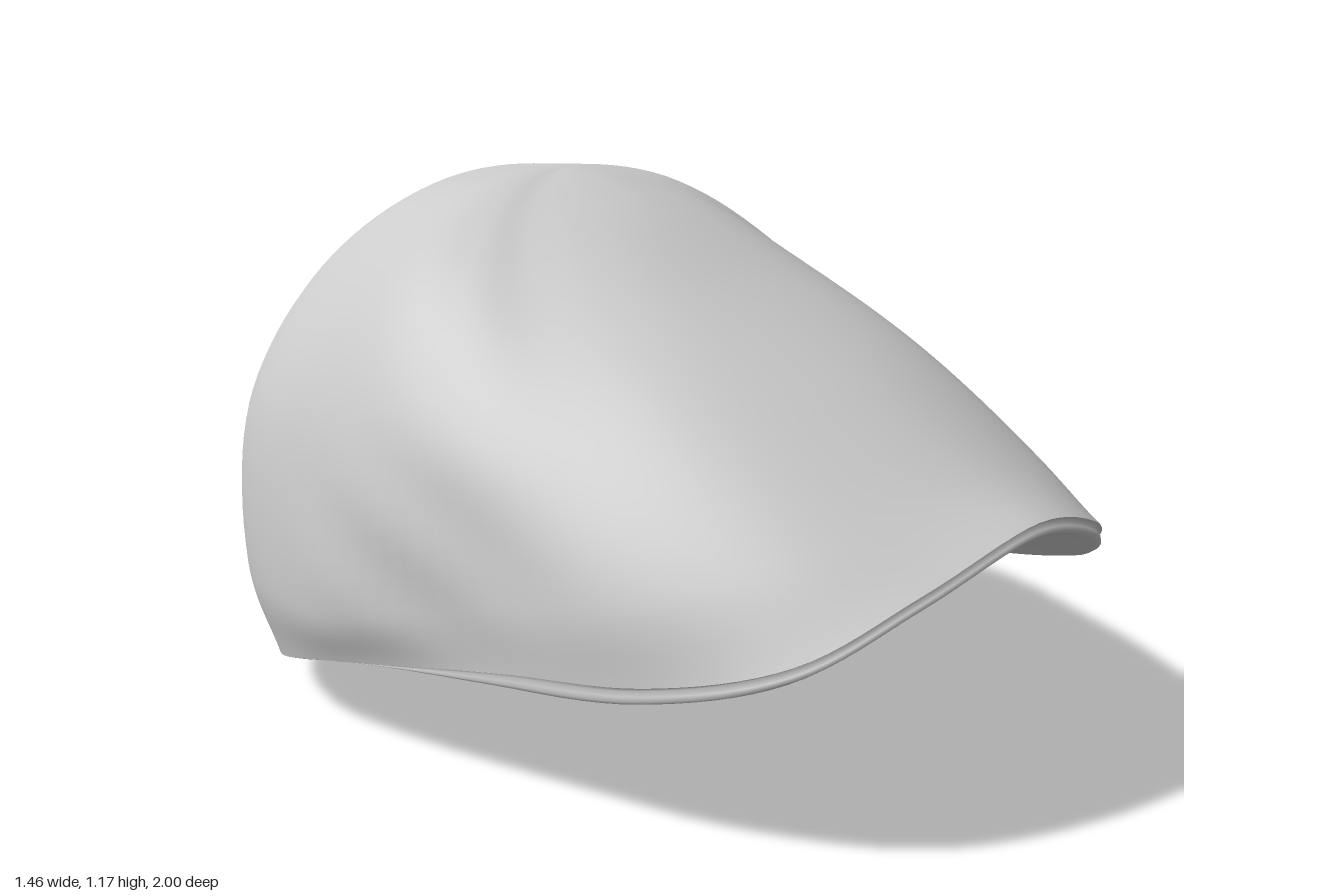
import * as THREE from 'three';
import { mergeVertices } from 'three/addons/utils/BufferGeometryUtils.js';
import { RoundedBoxGeometry } from 'three/addons/geometries/RoundedBoxGeometry.js';

const V = (x, y, z) => new THREE.Vector3(x, y, z);
const { smoothstep, lerp } = THREE.MathUtils;
const AROUND = 128;
const cloth = new THREE.MeshStandardMaterial({ color: 0xcccccc, side: THREE.DoubleSide });
const darkCloth = new THREE.MeshStandardMaterial({ color: 0x666666, side: THREE.DoubleSide });

// Closed ring through key points of the left half, front to back, mirrored to the right
function ring(keys) {
  const half = keys.map(k => V(...k));
  const other = half.slice(1, -1).reverse().map(p => V(-p.x, p.y, p.z));
  return new THREE.CatmullRomCurve3([...half, ...other], true, 'catmullrom', 0.5);
}

// Crown rings, from the rim upward
const crownRings = [
  [[0, 0.605, 1], [0.3, 0.53, 0.955], [0.5, 0.42, 0.83], [0.61, 0.345, 0.58], [0.665, 0.3, 0.25],
    [0.69, 0.21, -0.2], [0.61, 0.12, -0.52], [0.37, 0.04, -0.77], [0, 0, -0.89]],
  [[0, 0.658, 0.88], [0.28, 0.625, 0.83], [0.47, 0.56, 0.73], [0.62, 0.48, 0.5], [0.675, 0.42, 0.2],
    [0.727, 0.32, -0.2], [0.64, 0.3, -0.57], [0.41, 0.27, -0.84], [0, 0.26, -0.96]],
  [[0, 0.82, 0.6], [0.24, 0.81, 0.56], [0.41, 0.78, 0.48], [0.56, 0.71, 0.33], [0.65, 0.7, 0.09],
    [0.67, 0.72, -0.2], [0.62, 0.68, -0.53], [0.41, 0.63, -0.84], [0, 0.6, -0.995]],
  [[0, 0.97, 0.3], [0.2, 0.965, 0.28], [0.33, 0.95, 0.22], [0.44, 0.93, 0.11], [0.49, 0.96, -0.02],
    [0.5, 1, -0.2], [0.47, 0.965, -0.43], [0.33, 0.94, -0.68], [0, 0.95, -0.83]],
  [[0, 1.12, 0], [0.1, 1.117, -0.01], [0.18, 1.113, -0.04], [0.24, 1.113, -0.09], [0.28, 1.122, -0.14],
    [0.29, 1.131, -0.22], [0.27, 1.125, -0.34], [0.19, 1.122, -0.47], [0, 1.125, -0.58]],
].map(ring);

// Head opening
const opening = ring([[0, 0.5, 0.66], [0.25, 0.472, 0.61], [0.44, 0.4, 0.48], [0.58, 0.33, 0.32],
  [0.65, 0.28, 0.1], [0.668, 0.205, -0.2], [0.595, 0.115, -0.51], [0.355, 0.037, -0.765], [0, 0.002, -0.882]]);

const apex = V(0, 1.17, -0.22);

// Curve from the rim (t = 0) over the apex (t = 1) to the far side
function meridian(u) {
  const points = crownRings.map(r => r.getPoint(u));
  const beyond = crownRings[4].getPoint((u + 0.5) % 1);
  const curve = new THREE.CatmullRomCurve3([...points, apex, beyond]);
  return t => curve.getPoint(t * 5 / 6);
}

// Soft cloth folds at the sides
function fold(p) {
  const weight = Math.exp(-((p.y - 0.5) ** 2) / 0.025 - ((p.z - 0.02) ** 2) / 0.06);
  const side = smoothstep(Math.abs(p.x), 0.4, 0.65);
  p.x += Math.sign(p.x) * side * weight * 0.008 * Math.sin(p.y * 26 + p.z * 14);
  return p;
}

// Closed surface of section curves; section(u) returns its points in order
function loft(name, material, section) {
  const positions = [], index = [];
  let rows = 0;
  for (let i = 0; i < AROUND; i++) {
    const points = section(i / AROUND);
    rows = points.length;
    points.forEach(p => positions.push(p.x, p.y, p.z));
  }
  for (let i = 0; i < AROUND; i++) {
    for (let j = 0; j < rows - 1; j++) {
      const a = i * rows + j, b = ((i + 1) % AROUND) * rows + j;
      index.push(a, b, b + 1, a, b + 1, a + 1);
    }
  }
  let geometry = new THREE.BufferGeometry();
  geometry.setAttribute('position', new THREE.Float32BufferAttribute(positions, 3));
  geometry.setIndex(index);
  geometry = mergeVertices(geometry, 1e-5);
  geometry.computeVertexNormals();
  const mesh = new THREE.Mesh(geometry, material);
  mesh.name = name;
  return mesh;
}

// Top edge of the sweatband above an opening point
const bandTop = p => V(p.x * 0.97, p.y + 0.18, -0.18 + (p.z + 0.18) * 0.97);

export function createModel() {
  const cap = new THREE.Group();
  cap.name = 'flatCap';

  // Crown, sloping down to the front edge
  cap.add(loft('crown', cloth, u => {
    const at = meridian(u), points = [];
    for (let j = 0; j <= 48; j++) points.push(fold(at(j / 48)));
    return points;
  }));

  // Peak underside with a stitched lip that fades out toward the back
  cap.add(loft('peak', cloth, u => {
    const rim = crownRings[0].getPoint(u), inner = opening.getPoint(u);
    const f = smoothstep(rim.z, -0.2, 0.45);
    const inward = V(inner.x - rim.x, 0, inner.z - rim.z).normalize();
    const lip = (depth, drop) => rim.clone().addScaledVector(inward, depth * f).add(V(0, -drop * f, 0));
    const edge = lip(0.035, 0.038);
    const points = [];
    for (let j = 0; j <= 8; j++) points.push(inner.clone().lerp(edge, j / 8));
    points.push(lip(0.012, 0.034), lip(0, 0.026), lip(0.002, 0.017), lip(0.014, 0.009), rim.clone());
    return points;
  }));

  // Sweatband inside the opening
  cap.add(loft('sweatband', darkCloth, u => {
    const low = opening.getPoint(u), high = bandTop(low);
    return [0, 0.25, 0.5, 0.75, 1].map(t => high.clone().lerp(low, t));
  }));

  // Lining just inside the crown, drawn in to the top of the sweatband
  cap.add(loft('lining', darkCloth, u => {
    const at = meridian(u), base = bandTop(opening.getPoint(u)), centre = V(0, 0.45, -0.1);
    const start = 0.3 + 0.1 * Math.cos(2 * Math.PI * u);
    const points = [];
    for (let j = 0; j <= 32; j++) {
      const t = lerp(1, start, j / 32);
      points.push(base.clone().lerp(at(t).lerp(centre, 0.025), smoothstep(t, start, start + 0.15)));
    }
    return points;
  }));

  // Small blank tab sewn on the back, aligned to the crown surface
  const surface = (u, t) => meridian(u)(t);
  const u = 0.475, t = 0.112;
  const place = surface(u, t);
  const across = surface(u + 0.01, t).sub(surface(u - 0.01, t));
  const upward = surface(u, t + 0.02).sub(surface(u, t - 0.02));
  const tab = new THREE.Mesh(new RoundedBoxGeometry(0.13, 0.15, 0.024, 3, 0.01), cloth);
  tab.name = 'backTab';
  tab.position.copy(place);
  tab.lookAt(place.clone().add(across.cross(upward)));
  cap.add(tab);

  return cap;
}
